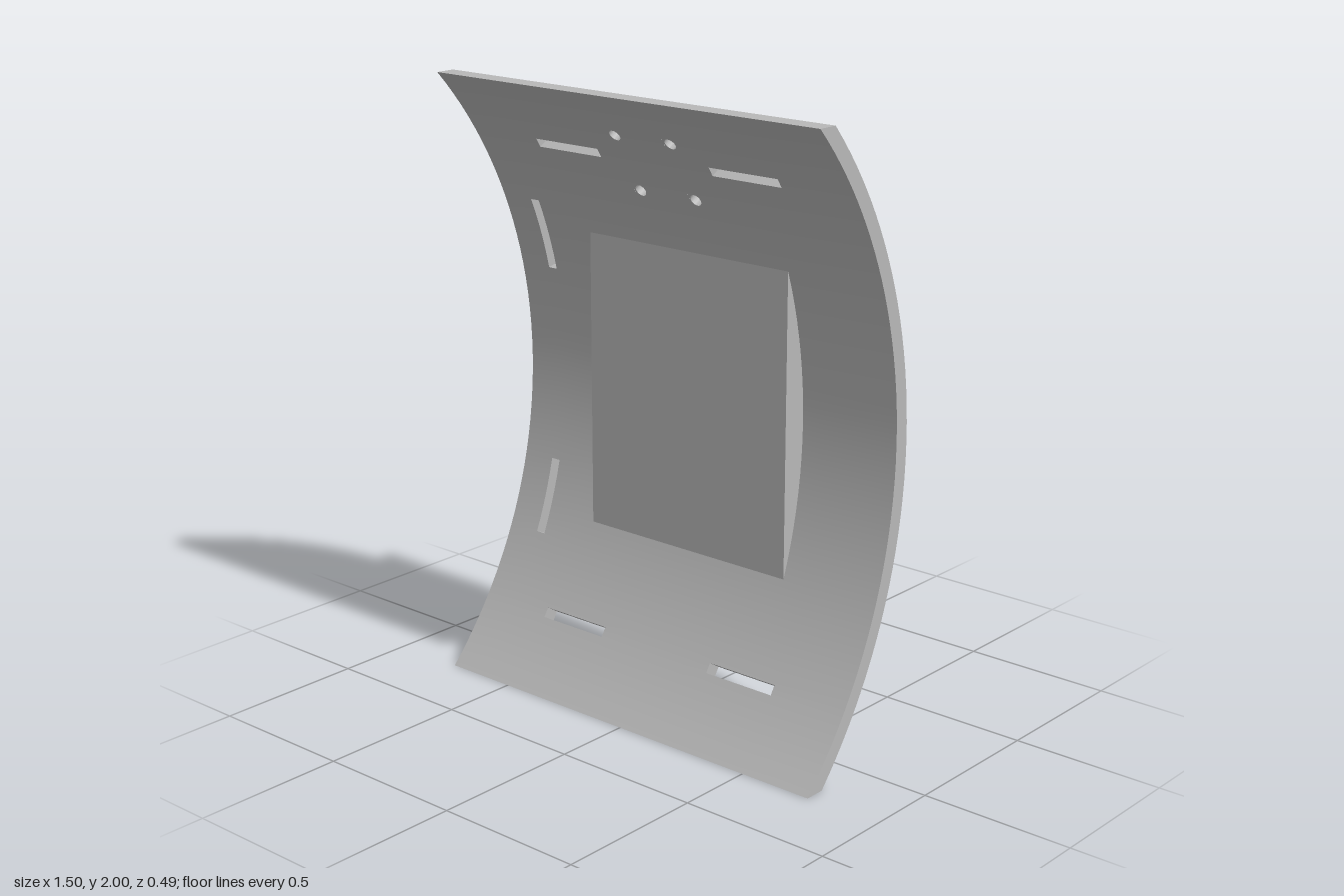
import * as THREE from 'three';
import { toCreasedNormals } from 'three/addons/utils/BufferGeometryUtils.js';

const INNER = 1.45, OUTER = 1.5, AXIS_Z = 1.295, HALF_W = 0.75;

// Point on the curved plate; the top and bottom rims are cut flat
function bend([x, a], r) {
  const y = THREE.MathUtils.clamp(r * Math.sin(a), -1, 1);
  return [x, 1 + y, AXIS_Z - Math.sqrt(r * r - y * y)];
}

// Cut-outs as [x0, x1, a0, a1], with a the angle around the plate's axis
const slots = [];
for (const s of [-1, 1]) {
  const span = (lo, hi) => (s > 0 ? [lo, hi] : [-hi, -lo]);
  slots.push([-0.63, -0.596, ...span(0.229, 0.4033)]);
  slots.push([-0.48, -0.222, ...span(0.5625, 0.5855)]);
  slots.push([0.222, 0.48, ...span(0.5625, 0.5855)]);
}
const HOLE_R = 0.02, CELL_X = 0.025, CELL_A = 0.0172;
const holes = [];
for (const x of [-0.11, 0.11]) for (const a of [0.485, 0.6366]) holes.push([x, a]);
const holeCells = holes.map(([x, a]) => [x - CELL_X, x + CELL_X, a - CELL_A, a + CELL_A]);

// Sorted grid lines, filled in so that no gap is wider than step
function gridLines(values, step) {
  const v = [...new Set(values)].sort((p, q) => p - q);
  const out = [v[0]];
  for (let i = 1; i < v.length; i++) {
    const n = Math.ceil((v[i] - v[i - 1]) / step);
    for (let k = 1; k <= n; k++) out.push(k === n ? v[i] : v[i - 1] + ((v[i] - v[i - 1]) * k) / n);
  }
  return out;
}

function curvedPlateGeometry() {
  const end = Math.asin(1 / INNER);
  const cuts = [...slots, ...holeCells];
  const xs = gridLines([-HALF_W, HALF_W, ...cuts.flatMap((c) => [c[0], c[1]])], 2);
  const as = gridLines([-end, end, ...cuts.flatMap((c) => [c[2], c[3]])], 0.04);
  const pos = [];
  const quad = (a, b, c, d) => pos.push(...a, ...b, ...c, ...a, ...c, ...d);
  const skin = (a, b, c, d) => {
    quad(...[a, b, c, d].map((p) => bend(p, INNER)));
    quad(...[d, c, b, a].map((p) => bend(p, OUTER)));
  };
  const wall = (a, b) => quad(bend(a, INNER), bend(a, OUTER), bend(b, OUTER), bend(b, INNER));
  const inside = (c, x, a) => x > c[0] && x < c[1] && a > c[2] && a < c[3];
  const mid = (l, i) => (l[i] + l[i + 1]) / 2;
  const solid = (i, j) =>
    i >= 0 && j >= 0 && i < xs.length - 1 && j < as.length - 1 &&
    !slots.some((c) => inside(c, mid(xs, i), mid(as, j)));

  for (let i = 0; i < xs.length - 1; i++) {
    for (let j = 0; j < as.length - 1; j++) {
      if (!solid(i, j)) continue;
      const c = [[xs[i], as[j]], [xs[i + 1], as[j]], [xs[i + 1], as[j + 1]], [xs[i], as[j + 1]]];
      if (!holeCells.some((h) => inside(h, mid(xs, i), mid(as, j)))) skin(...c);
      if (!solid(i, j - 1)) wall(c[0], c[1]);
      if (!solid(i + 1, j)) wall(c[1], c[2]);
      if (!solid(i, j + 1)) wall(c[2], c[3]);
      if (!solid(i - 1, j)) wall(c[3], c[0]);
    }
  }

  // Round holes: a ring between a square cell and a circle
  const N = 24;
  for (const [x, a] of holes) {
    const at = (k) => {
      const t = (k / N) * Math.PI * 2, u = Math.cos(t), v = Math.sin(t);
      const m = Math.max(Math.abs(u), Math.abs(v));
      return {
        edge: [x + (CELL_X * u) / m, a + (CELL_A * v) / m],
        rim: [x + HOLE_R * u, a + (HOLE_R * v) / INNER],
      };
    };
    for (let k = 0; k < N; k++) {
      const p = at(k), q = at(k + 1);
      skin(p.edge, q.edge, q.rim, p.rim);
      wall(q.rim, p.rim);
    }
  }
  const g = new THREE.BufferGeometry();
  g.setAttribute('position', new THREE.Float32BufferAttribute(pos, 3));
  return toCreasedNormals(g, 0.5);
}

export function createModel() {
  const group = new THREE.Group();
  const grey = new THREE.MeshStandardMaterial({ color: 0xb8b8b8 });
  grey.name = 'grey';
  const add = (name, geometry) => {
    const mesh = new THREE.Mesh(geometry, grey);
    mesh.name = name;
    group.add(mesh);
    return mesh;
  };

  add('curvedPlate', curvedPlateGeometry());

  // Mounting block: a solid front layer and a back layer with four screw holes
  const W = 0.4, Y0 = 0.455, Y1 = 1.55, BACK = -0.245, SPLIT = -0.145, FRONT = -0.07;
  add('mountingBlockFront', new THREE.BoxGeometry(2 * W, Y1 - Y0, FRONT - SPLIT))
    .position.set(0, (Y0 + Y1) / 2, (FRONT + SPLIT) / 2);

  const face = new THREE.Shape([[-W, Y0], [W, Y0], [W, Y1], [-W, Y1]].map((p) => new THREE.Vector2(...p)));
  for (const x of [-0.2, 0.2]) for (const y of [0.6, 1.4]) {
    face.holes.push(new THREE.Path().absarc(x, y, 0.02, 0, Math.PI * 2, true));
  }
  const backGeometry = new THREE.ExtrudeGeometry(face, { depth: SPLIT - BACK, bevelEnabled: false, curveSegments: 24 });
  add('mountingBlockBack', toCreasedNormals(backGeometry, 0.5)).position.z = BACK;

  return group;
}
